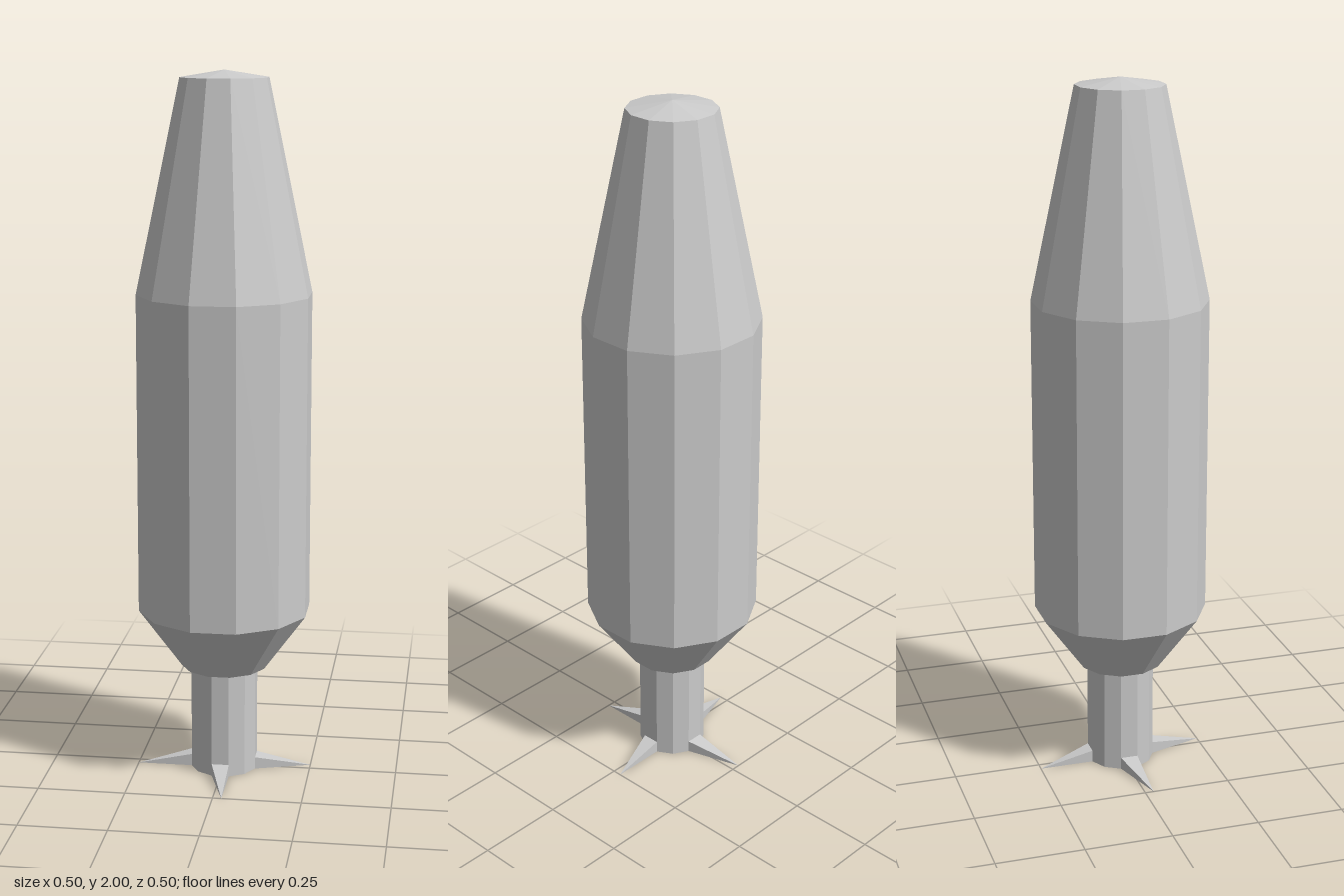
import * as THREE from 'three';

const SIDES = 12;
const material = new THREE.MeshStandardMaterial({ color: 0xcccccc, flatShading: true });

// Twelve-sided turned part, profile [radius, height] from bottom to top, flats facing the axes
function turned(name, profile) {
  const points = profile.map(([r, y]) => new THREE.Vector2(r, y));
  const mesh = new THREE.Mesh(new THREE.LatheGeometry(points, SIDES, Math.PI / SIDES), material);
  mesh.name = name;
  return mesh;
}

// Spike drawn out of one neck facet to a point at its lower corner
function spikeGeometry(halfWidth, height, inner, outer) {
  const w = halfWidth;
  const a = [-w, 0, inner], b = [w, 0, inner], c = [w, height, inner], d = [-w, height, inner];
  const tip = [w, 0, outer];
  const faces = [d, tip, c, a, tip, d, b, c, tip, a, b, tip];
  const geometry = new THREE.BufferGeometry();
  geometry.setAttribute('position', new THREE.Float32BufferAttribute(faces.flat(), 3));
  geometry.computeVertexNormals();
  return geometry;
}

export function createModel() {
  const model = new THREE.Group();
  model.name = 'spikedBottle';

  // Neck, closed underneath
  const neckRadius = 0.096;
  model.add(turned('neck', [[0, 0], [neckRadius, 0], [neckRadius, 0.31]]));

  // Body: underside rim, shoulder, straight wall, long taper and shallow cap
  model.add(turned('body', [
    [neckRadius, 0.31], [0.123, 0.31], [0.247, 0.48], [0.247, 1.39], [0.123, 1.98], [0, 2],
  ]));

  // Four spikes around the foot of the neck
  const angle = Math.PI / SIDES;
  const geometry = spikeGeometry(
    neckRadius * Math.sin(angle), 0.035, neckRadius * Math.cos(angle), 0.25);
  for (let i = 0; i < 4; i++) {
    const spike = new THREE.Mesh(geometry, material);
    spike.name = `spike${i + 1}`;
    spike.rotation.y = i * Math.PI / 2;
    model.add(spike);
  }
  return model;
}
